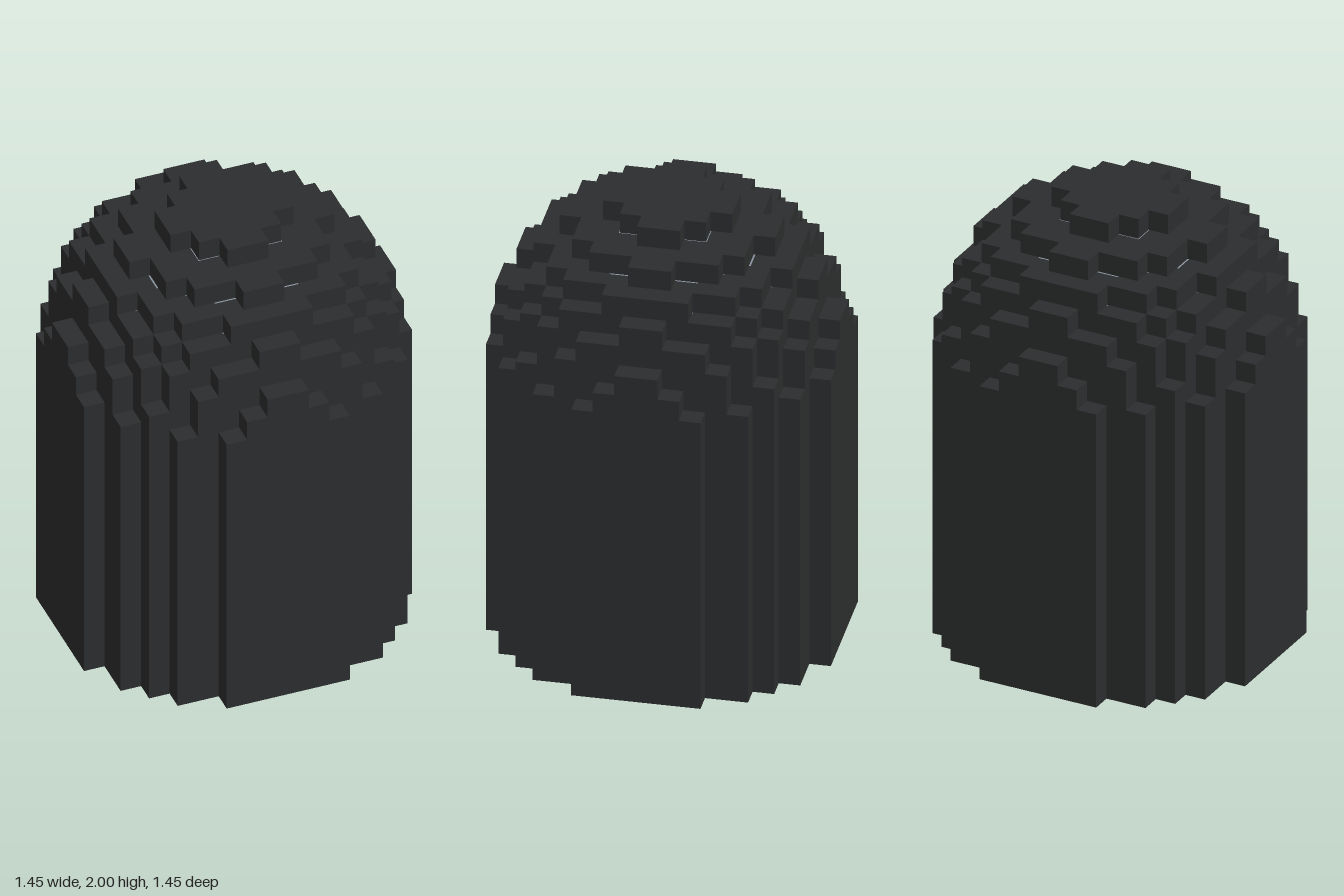
import * as THREE from 'three';

const U = 1 / 11;      // edge of one voxel
const SPRING = 14;     // level where the straight wall turns into the dome
const OUTER = 8, INNER = 6;

const material = (color) => new THREE.MeshStandardMaterial({ color, flatShading: true });

// Stepped outline of a voxel disc holding all cells whose centre lies within sqrt(r2)
function discOutline(r2, scale = 1) {
  const w = [];
  for (let i = 0; r2 - (i + 0.5) ** 2 >= 0.25; i++) {
    w.push(Math.floor(Math.sqrt(r2 - (i + 0.5) ** 2) + 0.5));
  }
  if (!w.length) return null;
  const quadrant = [];
  w.forEach((half, i) => {
    if (i > 0 && half !== w[i - 1]) quadrant.push([half, i]);
    if (half !== w[i + 1]) quadrant.push([half, i + 1]);
  });
  const points = [];
  for (let q = 0; q < 4; q++) {
    for (const [x, y] of quadrant) {
      const [a, b] = [[x, y], [-y, x], [-x, -y], [y, -x]][q];
      points.push(new THREE.Vector2(a * U * scale, b * U * scale));
    }
  }
  return points;
}

// Horizontal slab between two voxel levels, with an optional hole
function slab(group, name, mat, outline, hole, y0, y1) {
  const shape = new THREE.Shape(outline);
  if (hole) shape.holes.push(new THREE.Path(hole));
  const geometry = new THREE.ExtrudeGeometry(shape, { depth: (y1 - y0) * U, bevelEnabled: false });
  geometry.rotateX(-Math.PI / 2).translate(0, y0 * U, 0);
  const mesh = new THREE.Mesh(geometry, mat);
  mesh.name = name;
  group.add(mesh);
}

export function createModel() {
  const model = new THREE.Group();
  model.name = 'domedCapsule';
  const shell = new THREE.Group();
  shell.name = 'outerShell';
  const lining = new THREE.Group();
  lining.name = 'innerLining';
  model.add(shell, lining);

  const dark = material(0x2c2d2e);
  const grey = material(0x8b94a1);
  const yellow = material(0xd6d010);

  const layerR2 = (radius, k) => radius ** 2 - (k + 0.5) ** 2;
  const GAP = 1.02; // keeps the lining just clear of its neighbours

  // Bottom rim and straight wall
  const wall = discOutline(OUTER ** 2);
  const bore = discOutline(INNER ** 2);
  const seat = discOutline(INNER ** 2, GAP);
  slab(shell, 'bottomRim', dark, wall, bore, 0, 1);
  slab(shell, 'wall', dark, wall, seat, 1, SPRING + 1);
  slab(lining, 'wallLining', grey, seat, bore, 1, SPRING + 1);

  // Stepped dome, lined on the inside
  for (let k = 1; k < OUTER; k++) {
    const y = SPRING + k;
    const recess = discOutline(layerR2(INNER, k - 1), GAP);
    slab(shell, 'domeStep', dark, discOutline(layerR2(OUTER, k)), recess, y, y + 1);
    if (recess) slab(lining, 'domeLining', grey, recess, discOutline(layerR2(INNER, k)), y, y + 1);
  }

  // Yellow core hanging from the ceiling, and the small cube below it
  slab(model, 'core', yellow, discOutline(4), null, 4, SPRING + INNER);
  const cube = new THREE.Mesh(new THREE.BoxGeometry(U, U, U), yellow);
  cube.name = 'smallCube';
  cube.position.set(-U / 2, U / 2, -U / 2);
  model.add(cube);

  return model;
}
